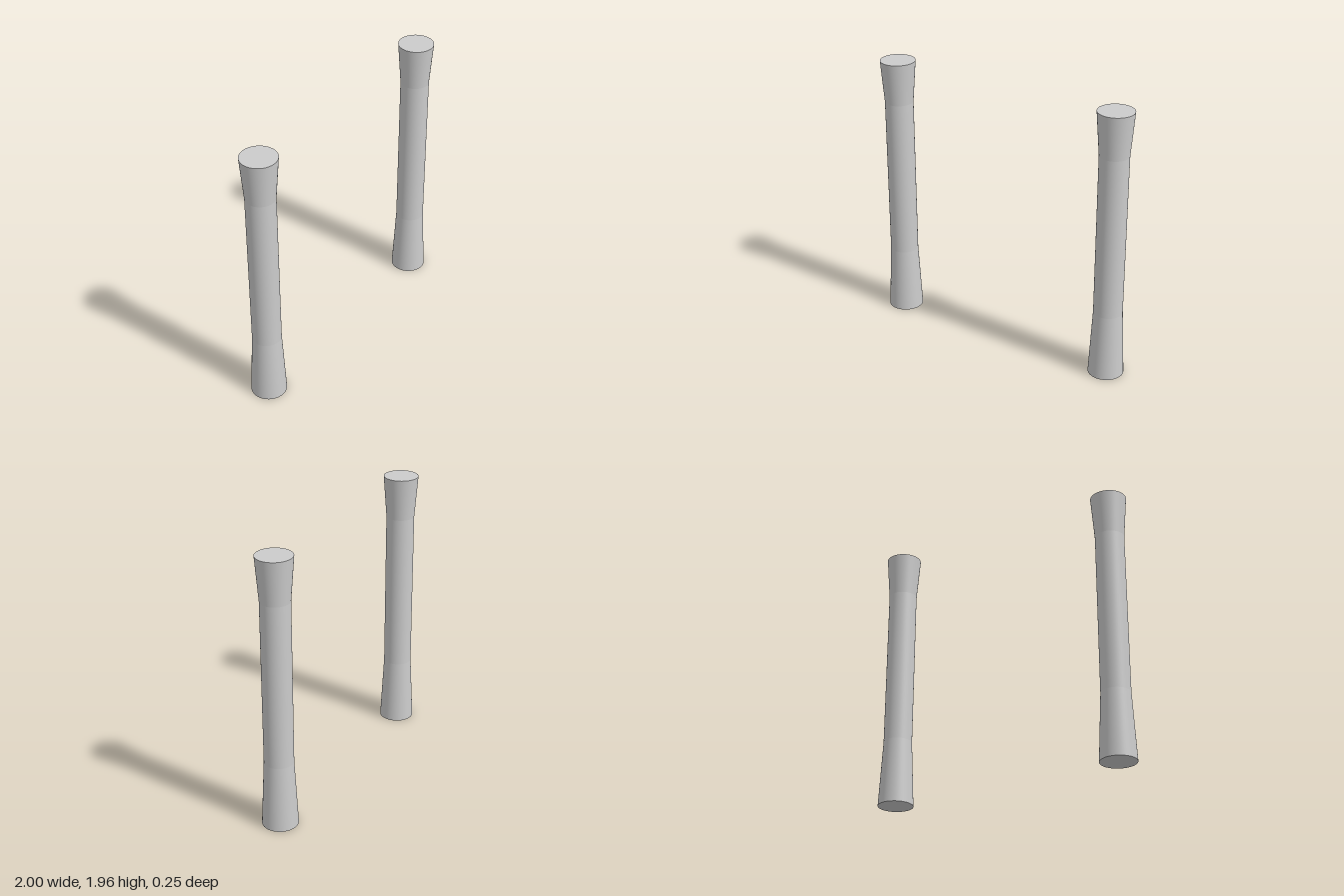
import * as THREE from 'three';

const SIDES = 48;
const SHAFT_R = 0.102;
const END_R = 0.126;
const HEIGHT = 1.96;
const LOWER = 0.48; // top of the flared base
const UPPER = 1.65; // bottom of the flared head

const material = new THREE.MeshStandardMaterial({ color: 0xcccccc });

function addPart(group, name, geometry, y) {
  const mesh = new THREE.Mesh(geometry, material);
  mesh.name = name;
  mesh.position.y = y;
  group.add(mesh);
}

// Open tapered tube between two heights
function addTube(group, name, rBottom, rTop, y0, y1) {
  addPart(group, name, new THREE.CylinderGeometry(rTop, rBottom, y1 - y0, SIDES, 1, true), (y0 + y1) / 2);
}

function createColumn(name, x) {
  const column = new THREE.Group();
  column.name = name;
  column.position.x = x;

  // Flared base, straight shaft, flared head
  addTube(column, 'base', END_R, SHAFT_R, 0, LOWER);
  addTube(column, 'shaft', SHAFT_R, SHAFT_R, LOWER, UPPER);
  addTube(column, 'head', SHAFT_R, END_R, UPPER, HEIGHT);

  // Flat discs closing both ends
  addPart(column, 'bottomCap', new THREE.CircleGeometry(END_R, SIDES).rotateX(Math.PI / 2), 0);
  addPart(column, 'topCap', new THREE.CircleGeometry(END_R, SIDES).rotateX(-Math.PI / 2), HEIGHT);
  return column;
}

export function createModel() {
  const model = new THREE.Group();
  model.name = 'columnPair';
  const offset = 1 - END_R;
  model.add(createColumn('leftColumn', offset), createColumn('rightColumn', -offset));
  return model;
}
